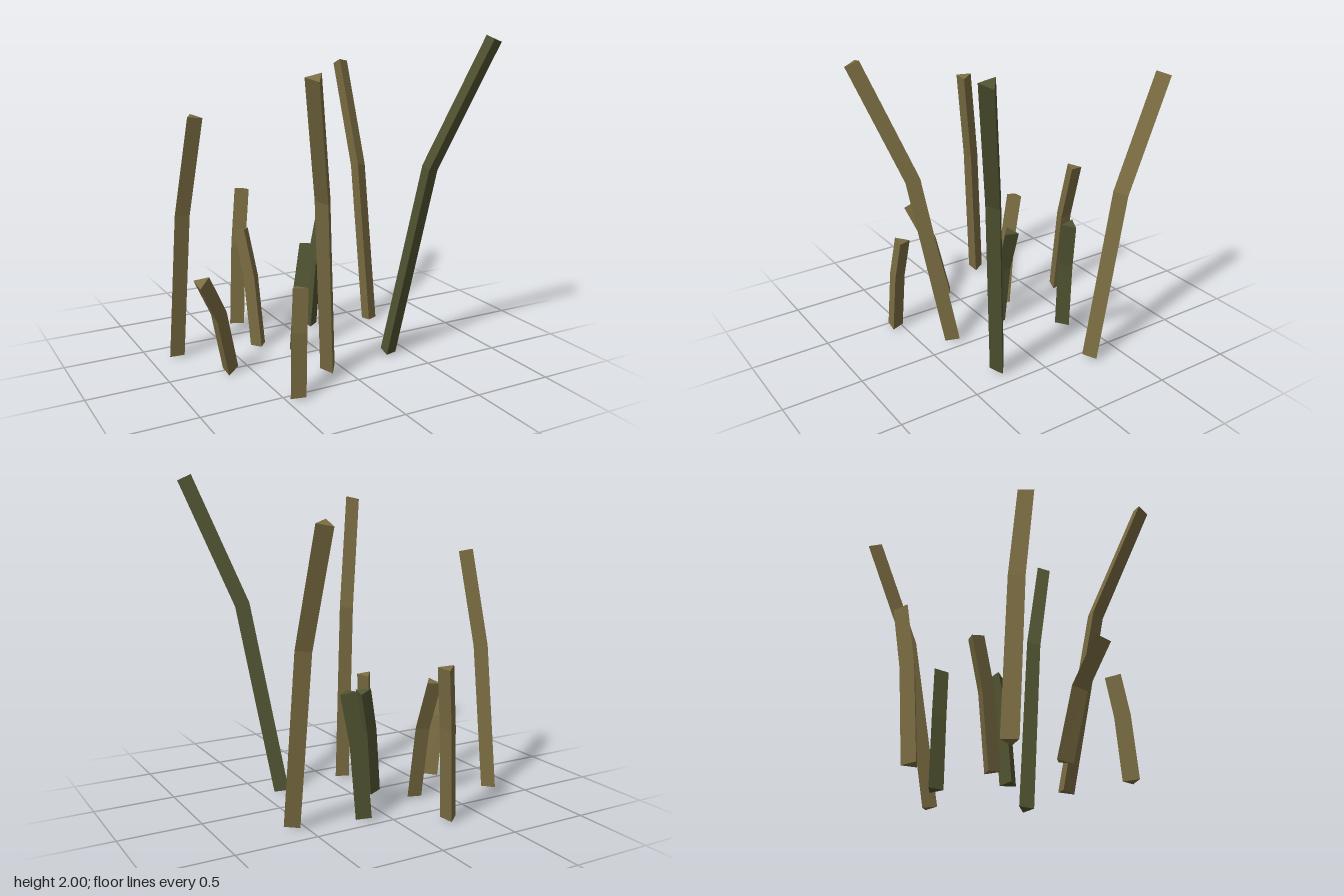
import * as THREE from 'three';

const RADIUS = 0.055;
const UP = new THREE.Vector3(0, 1, 0);

// Triangular stalk swept along a bent path, with a mitred joint and square-cut ends
function stalkGeometry(path, turn) {
  const rings = path.map((p, i) => {
    const dir = new THREE.Vector3();
    if (i > 0) dir.add(p.clone().sub(path[i - 1]).normalize());
    if (i < path.length - 1) dir.add(path[i + 1].clone().sub(p).normalize());
    const tilt = new THREE.Quaternion().setFromUnitVectors(UP, dir.normalize());
    return [0, 1, 2].map((k) => {
      const a = THREE.MathUtils.degToRad(turn + k * 120);
      return new THREE.Vector3(Math.cos(a) * RADIUS, 0, Math.sin(a) * RADIUS)
        .applyQuaternion(tilt).add(p);
    });
  });
  const points = [];
  // sides
  for (let i = 0; i < rings.length - 1; i++) {
    const low = rings[i], high = rings[i + 1];
    for (let k = 0; k < 3; k++) {
      const n = (k + 1) % 3;
      points.push(low[k], high[k], low[n], low[n], high[k], high[n]);
    }
  }
  // end caps
  const top = rings[rings.length - 1];
  points.push(rings[0][0], rings[0][1], rings[0][2], top[0], top[2], top[1]);
  const geometry = new THREE.BufferGeometry().setFromPoints(points);
  geometry.computeVertexNormals();
  return geometry;
}

export function createModel() {
  const group = new THREE.Group();
  group.name = 'stalkCluster';

  const brown = new THREE.MeshStandardMaterial({ color: 0x7a6c42 });
  brown.name = 'dryBrown';
  const green = new THREE.MeshStandardMaterial({ color: 0x505331 });
  green.name = 'darkOlive';

  // base x, base z, tip x, tip z, tip height, turn in degrees, material
  const stalks = [
    [-0.28, -0.668, -0.197, -0.735, 0.94, 50, brown],
    [0.565, -0.305, 0.579, -0.755, 1.765, 0, brown],
    [-0.837, -0.344, -0.725, -0.198, 1.535, 30, brown],
    [-0.31, -0.235, -0.362, -0.361, 0.765, -22, brown],
    [0.151, -0.405, 0.235, -0.369, 0.775, -8, green],
    [-0.12, -0.055, -0.026, -0.097, 0.69, 68, green],
    [-0.628, 0.035, -0.848, 0.171, 0.648, 0, brown],
    [-0.435, 0.547, -0.39, 0.491, 0.64, 37, brown],
    [-0.092, 0.306, -0.418, 0.736, 1.83, 96, brown],
    [0.362, 0.254, 0.815, 0.61, 1.982, 8, green],
  ];

  stalks.forEach(([bx, bz, tx, tz, height, turn, material], i) => {
    const base = new THREE.Vector3(bx, 0.015, bz);
    const tip = new THREE.Vector3(tx, height, tz);
    // the lower part leans less than the upper part
    const bend = base.clone().lerp(tip, 0.4);
    bend.y = height * 0.61;
    const stalk = new THREE.Mesh(stalkGeometry([base, bend, tip], turn), material);
    stalk.name = `stalk${i + 1}`;
    group.add(stalk);
  });

  return group;
}
